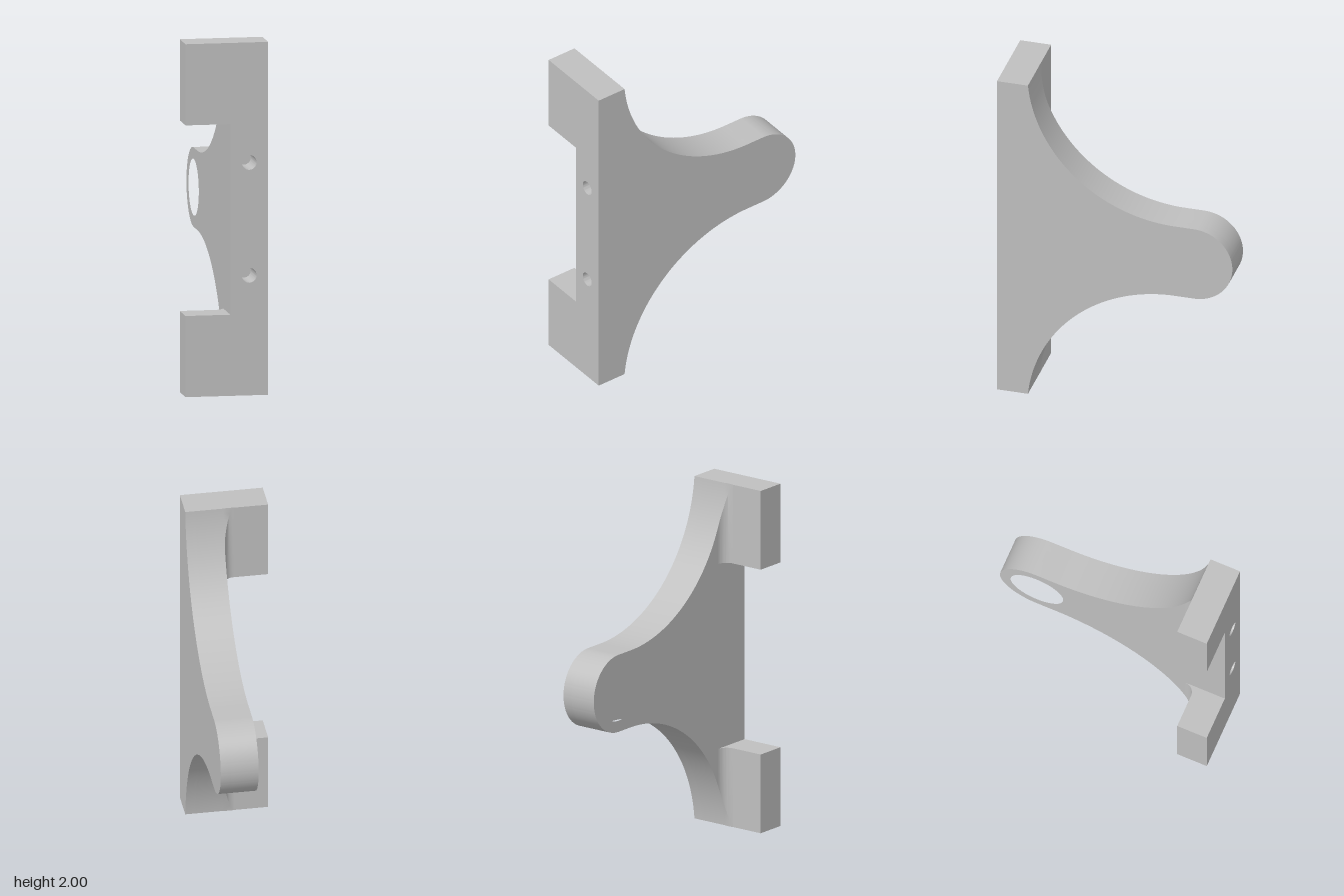
import * as THREE from 'three';
import { toCreasedNormals } from 'three/addons/utils/BufferGeometryUtils.js';

const XO = 0.235, XI = 0.02;          // outer and inner faces of the web
const ZF = 0.685, ZB = 0.505;         // front and back of the mounting bar
const R = 0.859, CZ = -0.35, CY = 2.084; // large concave arc of the web
const EZ = -0.46, ER = 0.225;         // rounded end
const TAB = 1.54;                     // inner edge of the upper tab

const gray = new THREE.MeshStandardMaterial({ color: 0xbfbfbf });
gray.name = 'gray';

function addMesh(group, name, geometry) {
  const mesh = new THREE.Mesh(toCreasedNormals(geometry, 0.5), gray);
  mesh.name = name;
  group.add(mesh);
}

function circlePath(x, y, r) {
  const path = new THREE.Path();
  path.absarc(x, y, r, 0, Math.PI * 2, true);
  return path;
}

// Side profile of the web, drawn with u = -z
function webShape() {
  const s = new THREE.Shape();
  const a = Math.asin((2 - CY) / -R);
  s.absarc(-CZ, CY, R, Math.PI + a, Math.PI * 1.5, false);
  s.absarc(-EZ, 1, ER, Math.PI / 2, -Math.PI / 2, true);
  s.absarc(-CZ, 2 - CY, R, Math.PI / 2, Math.PI - a, false);
  s.closePath();
  return s;
}

function webLayer(shape, x0, x1) {
  const g = new THREE.ExtrudeGeometry(shape, { depth: x1 - x0, bevelEnabled: false, curveSegments: 40 });
  return g.rotateY(Math.PI / 2).translate(x0, 0, 0);
}

// Concave fillet between tab and web, trimmed by the large arc
function filletGeometry(lower) {
  const r = 0.06, n = 12, pos = [], idx = [];
  for (let i = 0; i <= n; i++) {
    const a = (i / n) * Math.PI / 2;
    const x = XI - r + r * Math.cos(a), z = ZB - r + r * Math.sin(a);
    const top = CY - Math.sqrt(R * R - (z - CZ) ** 2);
    for (const [px, py] of [[XI, TAB], [x, TAB], [x, top], [XI, top]]) {
      pos.push(px, lower ? 2 - py : py, z);
    }
  }
  for (let i = 0; i < n; i++) {
    for (let k = 0; k < 3; k++) {
      const a = i * 4 + k, b = a + 1, c = a + 4, d = b + 4;
      if (lower) idx.push(a, d, c, a, b, d);
      else idx.push(a, c, d, a, d, b);
    }
  }
  const g = new THREE.BufferGeometry();
  g.setAttribute('position', new THREE.Float32BufferAttribute(pos, 3));
  g.setIndex(idx);
  return g;
}

export function createModel() {
  const group = new THREE.Group();
  group.name = 'bracket';

  // Mounting bar with two tabs and two screw holes
  const bar = new THREE.Shape([
    [-XO, 0], [XO, 0], [XO, 2], [-XO, 2], [-XO, TAB], [XI, TAB], [XI, 2 - TAB], [-XO, 2 - TAB],
  ].map(([x, y]) => new THREE.Vector2(x, y)));
  for (const y of [0.68, 1.32]) bar.holes.push(circlePath(0.127, y, 0.042));
  const barGeometry = new THREE.ExtrudeGeometry(bar, { depth: ZF - ZB, bevelEnabled: false, curveSegments: 24 });
  addMesh(group, 'mountingBar', barGeometry.translate(0, 0, ZB));

  // Web: bored inner layer on a solid outer layer that closes the bore
  const bored = webShape();
  bored.holes.push(circlePath(-EZ, 1, 0.16));
  addMesh(group, 'webWithBore', webLayer(bored, XI, 0.178));
  addMesh(group, 'webOuterWall', webLayer(webShape(), 0.178, XO));

  // Fillets behind the tabs
  addMesh(group, 'upperFillet', filletGeometry(false));
  addMesh(group, 'lowerFillet', filletGeometry(true));
  return group;
}
